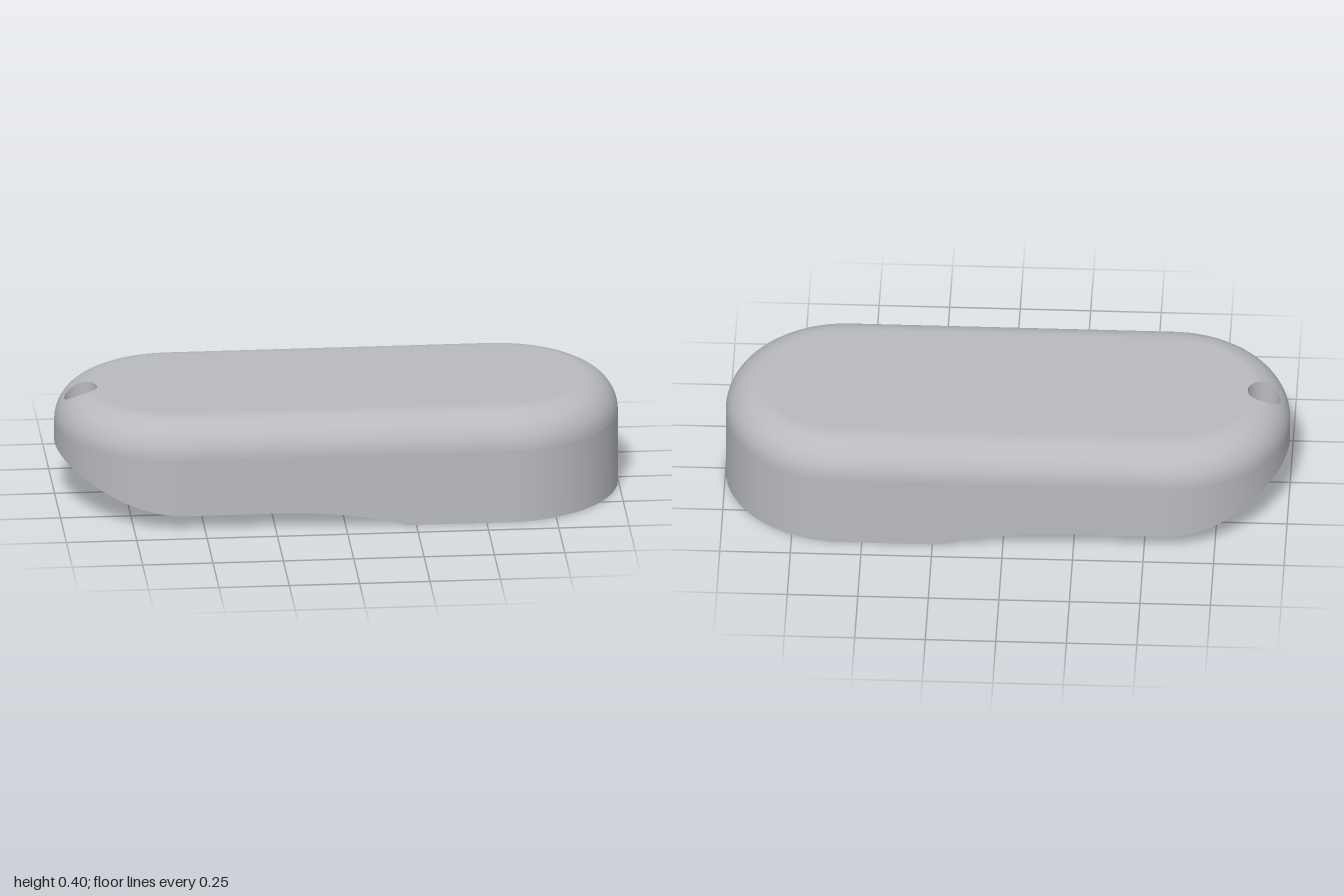
import * as THREE from 'three';

const HALF = 0.573, R = 0.427, TOP = 0.4, FILLET = 0.13; // rounded-end body
const HOLE_X = -0.908, HOLE_R = 0.058;

// Horizontal distance from a point to the body's side wall
const inset = (x, z) => R - Math.hypot(Math.max(Math.abs(x) - HALF, 0), z);

// Rounded top edge
function topHeight(x, z) {
  const d = Math.min(Math.max(inset(x, z), 0), FILLET);
  return TOP - FILLET + Math.sqrt(FILLET ** 2 - (FILLET - d) ** 2);
}

// Dished underside: a straight channel that closes in a long elliptical end
function scoopHeight(x, z) {
  const u = Math.max(x + 0.25, 0) / 0.98, v = z / 0.486;
  const s = u * u + v * v;
  return 0.192 - 0.162 * s - 0.03 * s ** 5;
}

// Last t in 0..1 for which a test still holds
function lastT(test) {
  if (test(1)) return 1;
  let lo = 0, hi = 1;
  for (let k = 0; k < 30; k++) {
    const m = (lo + hi) / 2;
    if (test(m)) lo = m; else hi = m;
  }
  return lo;
}

// Points round the outline: two half circles joined by straight sides
function outline() {
  const pts = [], arc = 90, side = 36;
  for (const s of [1, -1]) {
    for (let i = 0; i < arc; i++) {
      const a = -Math.PI / 2 + (Math.PI * i) / arc;
      pts.push([s * (HALF + R * Math.cos(a)), s * R * Math.sin(a)]);
    }
    for (let i = 0; i < side; i++) pts.push([s * HALF * (1 - (2 * i) / side), s * R]);
  }
  return pts;
}

// Skin a list of closed rings
function skin(rings) {
  const n = rings[0].length, index = [];
  for (let j = 0; j < rings.length - 1; j++) {
    for (let i = 0; i < n; i++) {
      const k = (i + 1) % n, a = j * n, b = a + n;
      index.push(a + i, a + k, b + i, a + k, b + k, b + i);
    }
  }
  const g = new THREE.BufferGeometry();
  g.setAttribute('position', new THREE.Float32BufferAttribute(rings.flat(2), 3));
  g.setIndex(index);
  g.computeVertexNormals();
  return g;
}

export function createModel() {
  const group = new THREE.Group();
  const grey = new THREE.MeshStandardMaterial({ color: 0xb8babe });
  grey.name = 'grey';
  const add = (name, rings) => {
    const mesh = new THREE.Mesh(skin(rings), grey);
    mesh.name = name;
    group.add(mesh);
  };

  // Spokes from the hole's rim to the outline
  const spokes = outline().map(([x, z]) => {
    const l = Math.hypot(x - HOLE_X, z);
    const hx = HOLE_X + ((x - HOLE_X) / l) * HOLE_R, hz = (z / l) * HOLE_R;
    const at = (t) => [hx + (x - hx) * t, hz + (z - hz) * t];
    const edge = Math.min(FILLET, inset(hx, hz));
    return {
      at, edge,
      flat: lastT((t) => inset(...at(t)) > edge),       // where the fillet starts
      scoop: lastT((t) => scoopHeight(...at(t)) > 0),   // where the dish ends
    };
  });
  const ring = (tOf, yOf) => spokes.map((s) => {
    const [x, z] = s.at(tOf(s));
    return [x, yOf(x, z), z];
  });
  const base = (x, z) => Math.max(0, scoopHeight(x, z));

  // Top, rounded edge and side wall
  const shell = [];
  for (let j = 0; j <= 24; j++) shell.push(ring((s) => (s.flat * j) / 24, topHeight));
  for (let j = 1; j <= 14; j++) {
    shell.push(ring((s) => {
      const a = Math.acos(1 - s.edge / FILLET) * (1 - j / 14);
      const d = FILLET * (1 - Math.cos(a));
      return lastT((t) => inset(...s.at(t)) > d + 1e-9);
    }, topHeight));
  }
  shell.push(ring(() => 1, () => TOP - FILLET), ring(() => 1, base));
  add('bodyShell', shell);

  // Dished part of the underside
  const dish = [];
  for (let j = 40; j >= 0; j--) dish.push(ring((s) => (s.scoop * j) / 40, base));
  add('undersideScoop', dish);

  // Flat part of the underside
  add('flatBase', [ring(() => 1, base), ring((s) => s.scoop, base)]);

  // Wall of the through hole
  add('holeWall', [ring(() => 0, base), ring(() => 0, topHeight)]);

  return group;
}
